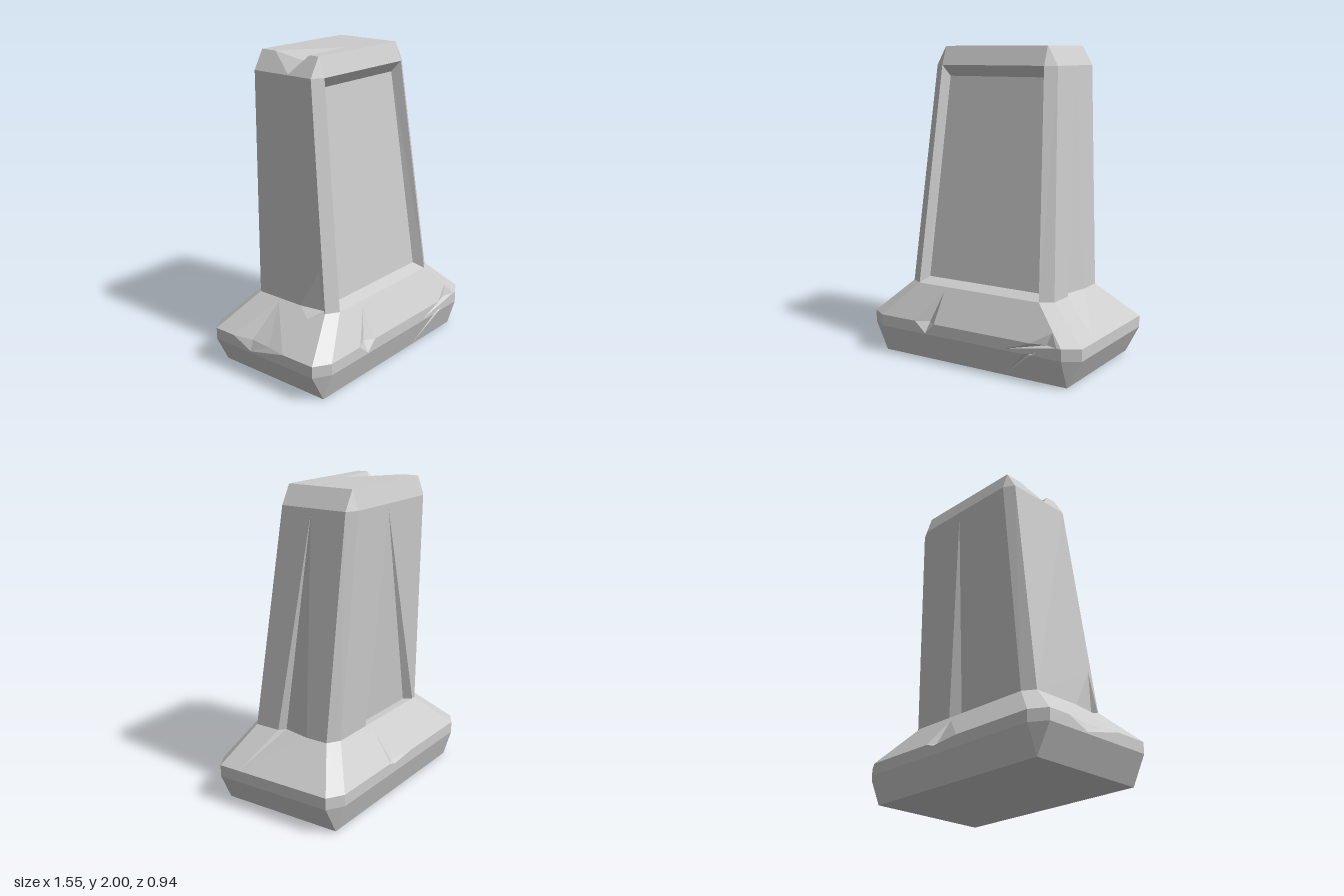
import * as THREE from 'three';

// Profile levels from the ground up: half width, front z, back z,
// and the same three at the inner ends of the corner chamfers
const Y = [0, 0.18, 0.255, 0.475, 1.88, 2];
const X = [0.68, 0.775, 0.775, 0.53, 0.445, 0.375];
const F = [0.41, 0.47, 0.47, 0.35, 0.175, 0.13];
const B = [-0.41, -0.47, -0.47, -0.29, -0.36, -0.32];
const XC = [0.68, 0.67, 0.67, 0.45, 0.375, 0.375];
const FC = [0.41, 0.405, 0.405, 0.3, 0.13, 0.13];
const BC = [-0.41, -0.405, -0.405, -0.24, -0.32, -0.32];
const TILT = [-0.5, 0, 1, 0.1, 0.6]; // how far each band faces up

function at(table, y) {
  let i = 0;
  while (i < 4 && y > Y[i + 1]) i++;
  return THREE.MathUtils.lerp(table[i], table[i + 1], (y - Y[i]) / (Y[i + 1] - Y[i]));
}

// Each side maps (u along the side, height, inset depth) to space.
// A chip breaks the edge at a level between u0 and u1; deep lists [u, inset, dy];
// up and down are the tips it runs to on the bands above and below.
const SIDES = {
  front: {
    map: (u, y, d = 0) => [u, y, at(F, y) - d], axis: [0, 1], lo: i => -XC[i], hi: i => XC[i],
    chips: [
      { level: 1, u0: 0.41, u1: 0.46, deep: [[0.44, 0.015]], up: [0.5, 0.2], down: [0.25, 0.01] },
      { level: 2, u0: -0.4, u1: -0.25, deep: [[-0.31, 0.045]], up: [-0.24, 0.45], down: [-0.32, 0.185] },
      { level: 2, u0: 0.46, u1: 0.64, deep: [[0.56, 0.025]], up: [0.59, 0.33], down: [0.28, 0.19] },
    ],
  },
  back: {
    map: (u, y, d = 0) => [u, y, at(B, y) + d], axis: [0, -1], lo: i => -XC[i], hi: i => XC[i],
    chips: [
      { level: 2, u0: -0.1, u1: 0.16, deep: [[0.1, 0.03]], up: [0.12, 0.44], down: [0.1, 0.235] },
      { level: 3, u0: -0.42, u1: 0.17, deep: [[-0.38, 0.05], [0.11, 0.05]], up: [0.04, 1.85] },
    ],
  },
  left: {
    map: (u, y, d = 0) => [at(X, y) - d, y, u], axis: [1, 0], lo: i => BC[i], hi: i => FC[i],
    chips: [
      { level: 3, u0: -0.09, u1: 0.13, deep: [[0.095, 0.04]], up: [-0.08, 1.86], down: [0.25, 0.262] },
    ],
  },
  right: {
    map: (u, y, d = 0) => [-at(X, y) + d, y, u], axis: [-1, 0], lo: i => BC[i], hi: i => FC[i],
    chips: [
      { level: 2, u0: -0.25, u1: 0.17, deep: [[-0.11, 0.03], [0.04, 0.02]], up: [-0.07, 0.46], down: [-0.1, 0.19] },
      { level: 3, u0: 0.1, u1: 0.295, deep: [[0.27, 0.03]], up: [0.24, 0.73], down: [0.2, 0.43] },
      { level: 5, u0: -0.21, u1: 0.06, deep: [[0.03, 0.03, -0.05]], down: [-0.05, 1.885], top: [-0.02, 0.03] },
    ],
  },
};

// Add a triangle turned towards the outward direction n
function tri(out, n, a, b, c) {
  const [p, q, r] = [a, b, c].map(v => new THREE.Vector3(...v));
  const normal = q.clone().sub(p).cross(r.clone().sub(p));
  if (normal.length() < 1e-9) return;
  if (normal.dot(new THREE.Vector3(...n)) < 0) out.push(...a, ...c, ...b);
  else out.push(...a, ...b, ...c);
}

const quad = (out, n, a, b, c, d) => {
  tri(out, n, a, b, c);
  tri(out, n, a, c, d);
};

// Fill a flat outline given in 2D and mapped into space
function region(out, n, outline, map) {
  const pts = outline.map(p => new THREE.Vector2(...p));
  for (const f of THREE.ShapeUtils.triangulateShape(pts, []))
    tri(out, n, ...f.map(k => map(...outline[k])));
}

// Broken surface between the tip of a chip and its deep points
function chipFill(out, n, side, chip, tip) {
  const y = Y[chip.level];
  const line = [side.map(chip.u0, y),
    ...chip.deep.map(([u, d, dy = 0]) => { const p = side.map(u, y, d); p[1] += dy; return p; }),
    side.map(chip.u1, y)];
  for (let k = 0; k + 1 < line.length; k++) tri(out, n, tip, line[k], line[k + 1]);
}

// One side of one band, with its edge chips cut out
function band(out, side, i) {
  const n = [side.axis[0], TILT[i], side.axis[1]];
  const edge = (level, key) => {
    const y = Y[level], pts = [[side.lo(level), y]];
    for (const c of side.chips.filter(c => c.level === level)) {
      const tip = c[key];
      if (tip) pts.push([c.u0, y], tip, [c.u1, y]);
      chipFill(out, n, side, c, side.map(...(tip || [c.u0, y])));
    }
    pts.push([side.hi(level), y]);
    return pts;
  };
  region(out, n, [...edge(i, 'up'), ...edge(i + 1, 'down').reverse()], side.map);
}

// Chamfered corners of one band
function corners(out, i) {
  for (const sx of [1, -1]) for (const [z, zc, sz] of [[F, FC, 1], [B, BC, -1]])
    quad(out, [sx, 0, sz],
      [sx * XC[i], Y[i], z[i]], [sx * X[i], Y[i], zc[i]],
      [sx * X[i + 1], Y[i + 1], zc[i + 1]], [sx * XC[i + 1], Y[i + 1], z[i + 1]]);
}

// Sunken panel on the front of the shaft
function panel(out) {
  const n = [0, 0.1, 1], m = SIDES.front.map;
  const rim = [m(-0.45, 0.475), m(0.45, 0.475), m(0.375, 1.88), m(-0.375, 1.88)];
  const floor = [m(-0.415, 0.51, 0.065), m(0.415, 0.51, 0.065), m(0.35, 1.81, 0.065), m(-0.35, 1.81, 0.065)];
  for (let k = 0; k < 4; k++) {
    const j = (k + 1) % 4;
    quad(out, n, rim[k], rim[j], floor[j], floor[k]);
  }
  quad(out, n, ...floor);
}

// Flat top with the broken corner
function cap(out) {
  const c = SIDES.right.chips[2], n = [0, 1, 0], map = (x, z) => [x, 2, z];
  region(out, n, [[-0.375, -0.32], [-0.375, c.u0], c.top, [-0.375, c.u1],
    [-0.375, 0.13], [0.375, 0.13], [0.375, -0.32]], map);
  chipFill(out, n, SIDES.right, c, map(...c.top));
}

export function createModel() {
  const group = new THREE.Group();
  group.name = 'gravestone';
  const material = new THREE.MeshStandardMaterial({ color: 0xcccccc, flatShading: true });
  const add = (name, build) => {
    const out = [];
    build(out);
    const geometry = new THREE.BufferGeometry();
    geometry.setAttribute('position', new THREE.Float32BufferAttribute(out, 3));
    geometry.computeVertexNormals();
    const mesh = new THREE.Mesh(geometry, material);
    mesh.name = name;
    group.add(mesh);
  };
  const rings = (out, from, to) => {
    for (let i = from; i < to; i++) {
      corners(out, i);
      for (const key in SIDES) if (i !== 3 || key !== 'front') band(out, SIDES[key], i);
    }
  };
  add('base', out => {
    rings(out, 0, 3);
    quad(out, [0, -1, 0], [-0.68, 0, -0.41], [0.68, 0, -0.41], [0.68, 0, 0.41], [-0.68, 0, 0.41]);
  });
  add('shaft', out => rings(out, 3, 5));
  add('frontPanel', panel);
  add('top', cap);
  return group;
}
